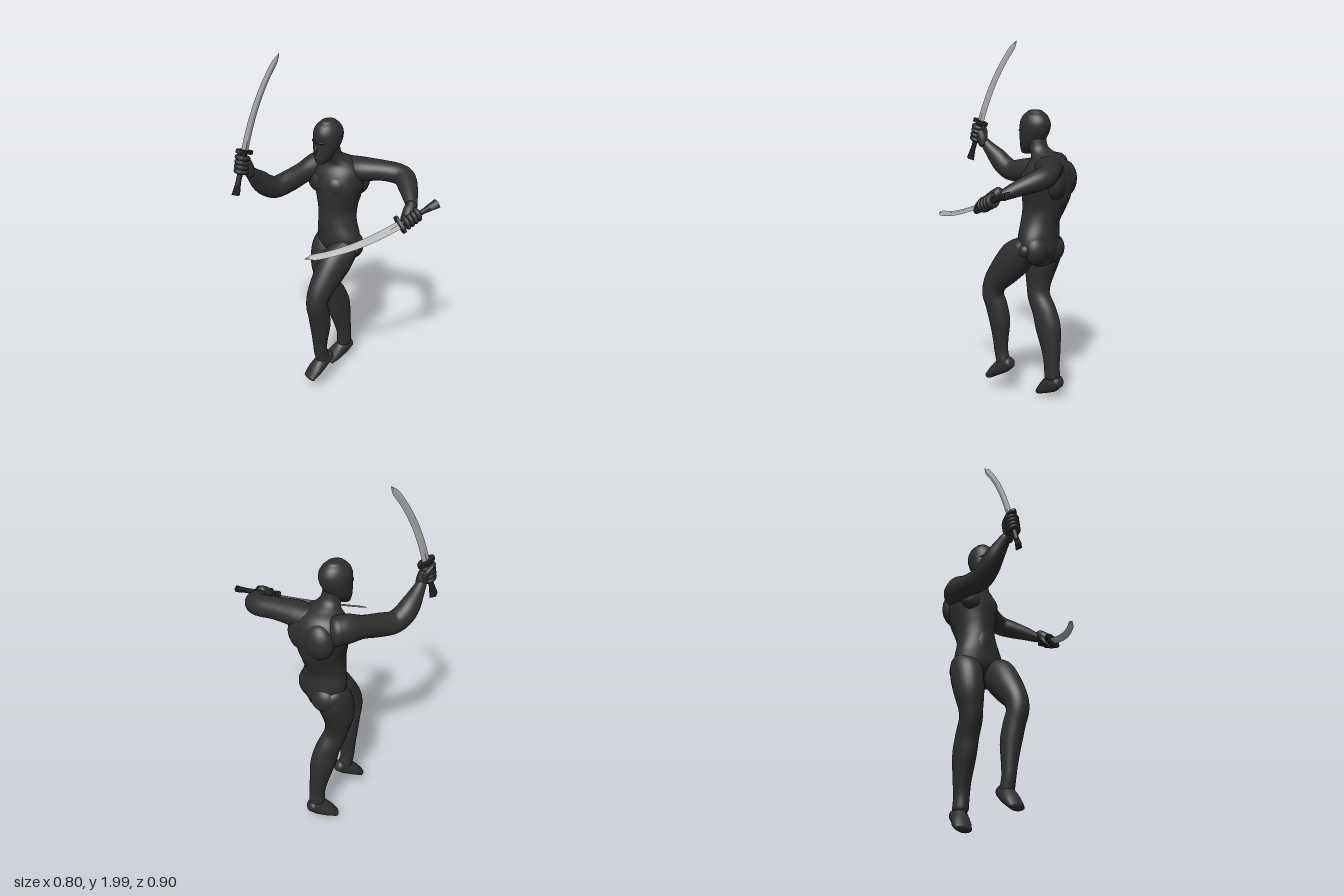
import * as THREE from 'three';

const suit = new THREE.MeshStandardMaterial({ color: 0x2f2f2f });
suit.name = 'dark suit';
const grip = new THREE.MeshStandardMaterial({ color: 0x232323 });
grip.name = 'black grip';
const steel = new THREE.MeshStandardMaterial({ color: 0xb0b0b0 });
steel.name = 'steel';

const V = (x, y, z) => new THREE.Vector3(x, y, z);

// Smooth elliptical loft. Sections: [x, y, z, halfWidth, halfDepth, yaw]
function loft(sections, { ref = V(1, 0, 0), level = false, sides = 28, steps = 6, cap = 0.6 } = {}) {
  const centre = new THREE.CatmullRomCurve3(sections.map(s => V(s[0], s[1], s[2])), false, 'catmullrom');
  const size = new THREE.CatmullRomCurve3(sections.map(s => V(s[3], s[4] ?? s[3], s[5] ?? 0)), false, 'catmullrom');
  const n = (sections.length - 1) * steps;
  const rings = [];
  for (let i = 0; i <= n; i++) {
    const T = level ? V(0, 1, 0) : centre.getTangent(i / n);
    const s = size.getPoint(i / n);
    const U = ref.clone().addScaledVector(T, -ref.dot(T)).normalize().applyAxisAngle(T, s.z);
    rings.push({ c: centre.getPoint(i / n), T, U, a: s.x, b: s.y });
  }
  // domed ends
  const dome = (r, sign) => [1, 2, 3, 4, 5].map(k => {
    const p = k / 5 * Math.PI / 2, f = Math.max(Math.cos(p), 0.005);
    const c = r.c.clone().addScaledVector(r.T, sign * cap * Math.min(r.a, r.b) * Math.sin(p));
    return { ...r, c, a: r.a * f, b: r.b * f };
  });
  const all = [...dome(rings[0], -1).reverse(), ...rings, ...dome(rings[n], 1)];
  const pos = [], idx = [];
  all.forEach((r, i) => {
    const W = r.T.clone().cross(r.U);
    for (let j = 0; j < sides; j++) {
      const t = j / sides * Math.PI * 2;
      const p = r.c.clone().addScaledVector(r.U, r.a * Math.cos(t)).addScaledVector(W, r.b * Math.sin(t));
      pos.push(p.x, p.y, p.z);
      if (i < all.length - 1) {
        const A = i * sides + j, B = i * sides + (j + 1) % sides;
        idx.push(A, B, A + sides, B, B + sides, A + sides);
      }
    }
  });
  const g = new THREE.BufferGeometry();
  g.setAttribute('position', new THREE.Float32BufferAttribute(pos, 3));
  g.setIndex(idx);
  g.computeVertexNormals();
  return g;
}

function add(parent, name, geometry, material) {
  const m = new THREE.Mesh(geometry, material);
  m.name = name;
  parent.add(m);
  return m;
}

function blob(parent, name, [x, y, z], [rx, ry, rz], yaw = 0, material = suit) {
  const m = add(parent, name, new THREE.SphereGeometry(1, 24, 16), material);
  m.position.set(x, y, z);
  m.scale.set(rx, ry, rz);
  m.rotation.y = yaw;
  return m;
}

// Sword with the hand gripping it: guard at origin, blade up y, cutting edge toward +x
function swordAndHand(name, guardAt, xAxis, yAxis) {
  const g = new THREE.Group();
  g.name = name;
  const blade = [];
  for (let i = 0; i <= 8; i++) {
    const t = i / 8;
    blade.push([-0.075 * t ** 2.4, 0.47 * t, 0, 0.022 - 0.004 * t, 0.007 - 0.002 * t]);
  }
  blade.push([-0.091, 0.515, 0, 0.001, 0.001]);
  const bladeGeo = loft(blade, { level: true, sides: 4, steps: 2, cap: 0.1 }).toNonIndexed();
  bladeGeo.computeVertexNormals();
  add(g, 'blade', bladeGeo, steel);
  const guard = add(g, 'guard', new THREE.CylinderGeometry(1, 1, 0.018, 20), grip);
  guard.scale.set(0.052, 1, 0.024);
  const handle = add(g, 'handle', new THREE.CylinderGeometry(0.015, 0.014, 0.18, 12), grip);
  handle.position.y = -0.09;
  const pommel = add(g, 'pommel', new THREE.CylinderGeometry(0.016, 0.027, 0.075, 4), grip);
  pommel.position.y = -0.193;
  pommel.scale.z = 0.7;

  // fingers wrapped round the handle
  for (let i = 0; i < 4; i++) {
    const f = add(g, 'finger', new THREE.TorusGeometry(0.024, 0.013, 10, 24), suit);
    f.rotation.x = Math.PI / 2;
    f.position.set(0.004 - 0.003 * i, -0.032 - 0.024 * i, 0);
    f.scale.set(1.15, 1, 1);
  }
  const thumb = loft([[-0.05, -0.075, 0.012, 0.015], [-0.024, -0.04, 0.028, 0.014], [0.012, -0.026, 0.03, 0.011]]);
  add(g, 'thumb', thumb, suit);
  add(g, 'palm', loft([[-0.064, -0.112, 0, 0.026, 0.026], [-0.042, -0.085, 0, 0.034, 0.03],
    [-0.02, -0.055, 0, 0.03, 0.03]]), suit);

  const Y = yAxis.normalize();
  const X = xAxis.addScaledVector(Y, -xAxis.dot(Y)).normalize();
  g.quaternion.setFromRotationMatrix(new THREE.Matrix4().makeBasis(X, Y, X.clone().cross(Y)));
  g.position.copy(guardAt);
  return g;
}

export function createModel() {
  const model = new THREE.Group();
  model.name = 'swordFighter';

  // Torso twists from the hips to the shoulders
  add(model, 'torso', loft([
    [-0.165, 0.83, -0.19, 0.07, 0.06, 0],
    [-0.170, 0.89, -0.175, 0.135, 0.098, 0],
    [-0.174, 0.96, -0.168, 0.138, 0.102, 0.05],
    [-0.185, 1.04, -0.168, 0.113, 0.104, 0.1],
    [-0.197, 1.11, -0.182, 0.106, 0.118, 0.18],
    [-0.202, 1.18, -0.193, 0.122, 0.133, 0.28],
    [-0.205, 1.26, -0.196, 0.142, 0.138, 0.38],
    [-0.210, 1.33, -0.200, 0.143, 0.122, 0.42],
    [-0.208, 1.38, -0.198, 0.112, 0.092, 0.42],
    [-0.202, 1.41, -0.172, 0.070, 0.070, 0.3],
    [-0.198, 1.44, -0.140, 0.053, 0.056, 0.1],
    [-0.198, 1.49, -0.122, 0.052, 0.056, 0]], { level: true, sides: 40 }), suit);
  blob(model, 'rightChest', [-0.262, 1.265, -0.098], [0.068, 0.062, 0.046], 0.1);
  blob(model, 'leftChest', [-0.146, 1.265, -0.118], [0.064, 0.062, 0.046], 0.55);
  blob(model, 'belly', [-0.19, 1.03, -0.112], [0.06, 0.12, 0.052], 0.1);
  blob(model, 'rightShoulderBlade', [-0.275, 1.27, -0.262], [0.085, 0.1, 0.065], 0.35);
  blob(model, 'leftShoulderBlade', [-0.16, 1.27, -0.285], [0.08, 0.1, 0.055], 0.4);
  blob(model, 'rightButtock', [-0.235, 0.885, -0.205], [0.085, 0.085, 0.072]);
  blob(model, 'leftButtock', [-0.105, 0.9, -0.2], [0.08, 0.085, 0.068]);
  blob(model, 'leftHipJoint', [-0.04, 0.9, -0.17], [0.034, 0.036, 0.038]);

  // Masked head
  add(model, 'head', loft([
    [-0.2, 1.408, -0.064, 0.030, 0.030],
    [-0.2, 1.44, -0.084, 0.050, 0.056],
    [-0.2, 1.48, -0.101, 0.063, 0.074],
    [-0.2, 1.53, -0.114, 0.072, 0.086],
    [-0.2, 1.57, -0.117, 0.072, 0.087],
    [-0.2, 1.605, -0.117, 0.059, 0.071],
    [-0.2, 1.627, -0.117, 0.037, 0.046]], { level: true, cap: 0.3 }), suit);
  blob(model, 'nose', [-0.2, 1.483, -0.032], [0.011, 0.026, 0.014]);
  blob(model, 'brow', [-0.2, 1.527, -0.052], [0.05, 0.011, 0.027]);
  blob(model, 'mouth', [-0.2, 1.44, -0.04], [0.024, 0.014, 0.014]);

  // Left leg steps forward with a bent knee
  add(model, 'leftLeg', loft([
    [-0.088, 0.90, -0.145, 0.078, 0.075],
    [-0.086, 0.84, -0.080, 0.080, 0.097],
    [-0.084, 0.76, -0.008, 0.076, 0.088],
    [-0.078, 0.68, 0.055, 0.064, 0.070],
    [-0.076, 0.61, 0.074, 0.058, 0.062],
    [-0.084, 0.54, 0.055, 0.056, 0.064],
    [-0.092, 0.45, 0.038, 0.054, 0.062],
    [-0.098, 0.34, 0.036, 0.042, 0.046],
    [-0.100, 0.27, 0.033, 0.036, 0.041],
    [-0.100, 0.21, 0.018, 0.037, 0.042]]), suit);
  add(model, 'leftFoot', loft([
    [-0.100, 0.210, -0.028, 0.035, 0.034],
    [-0.100, 0.188, 0.012, 0.040, 0.044],
    [-0.103, 0.145, 0.068, 0.048, 0.035],
    [-0.105, 0.104, 0.114, 0.043, 0.022]]), suit);

  // Right leg trails behind
  add(model, 'rightLeg', loft([
    [-0.248, 0.91, -0.180, 0.080, 0.080],
    [-0.252, 0.84, -0.150, 0.084, 0.097],
    [-0.248, 0.74, -0.127, 0.078, 0.086],
    [-0.236, 0.65, -0.126, 0.064, 0.068],
    [-0.228, 0.59, -0.138, 0.060, 0.065],
    [-0.223, 0.51, -0.180, 0.059, 0.073],
    [-0.220, 0.42, -0.208, 0.058, 0.076],
    [-0.215, 0.30, -0.232, 0.047, 0.056],
    [-0.210, 0.22, -0.242, 0.041, 0.046],
    [-0.212, 0.15, -0.245, 0.041, 0.046]]), suit);
  add(model, 'rightFoot', loft([
    [-0.215, 0.124, -0.284, 0.037, 0.036],
    [-0.220, 0.102, -0.240, 0.042, 0.050],
    [-0.235, 0.062, -0.187, 0.050, 0.037],
    [-0.245, 0.032, -0.150, 0.045, 0.022]]), suit);

  // Right arm bends forward and up
  add(model, 'rightArm', loft([
    [-0.315, 1.325, -0.190, 0.070, 0.078],
    [-0.328, 1.325, -0.130, 0.068, 0.076],
    [-0.332, 1.308, -0.045, 0.056, 0.060],
    [-0.332, 1.286, 0.050, 0.055, 0.062],
    [-0.336, 1.272, 0.140, 0.055, 0.060],
    [-0.338, 1.298, 0.200, 0.056, 0.059],
    [-0.334, 1.340, 0.245, 0.050, 0.054],
    [-0.322, 1.385, 0.288, 0.038, 0.039],
    [-0.312, 1.425, 0.324, 0.027, 0.028]]), suit);

  // Left arm sweeps out and back
  add(model, 'leftArm', loft([
    [-0.165, 1.335, -0.245, 0.070, 0.070],
    [-0.100, 1.342, -0.275, 0.066, 0.076],
    [-0.010, 1.346, -0.338, 0.056, 0.062],
    [0.060, 1.340, -0.382, 0.056, 0.058],
    [0.110, 1.330, -0.390, 0.055, 0.058],
    [0.165, 1.312, -0.362, 0.050, 0.054],
    [0.230, 1.285, -0.318, 0.039, 0.042],
    [0.290, 1.256, -0.276, 0.027, 0.029]], { ref: V(0, 1, 0) }), suit);

  model.add(swordAndHand('rightSword', V(-0.305, 1.54, 0.35), V(0, 0.316, 0.949), V(-0.03, 0.949, -0.316)));
  model.add(swordAndHand('leftSword', V(0.32, 1.2, -0.165), V(0.8, -0.6, 0), V(-0.255, -0.347, 0.903)));
  return model;
}
